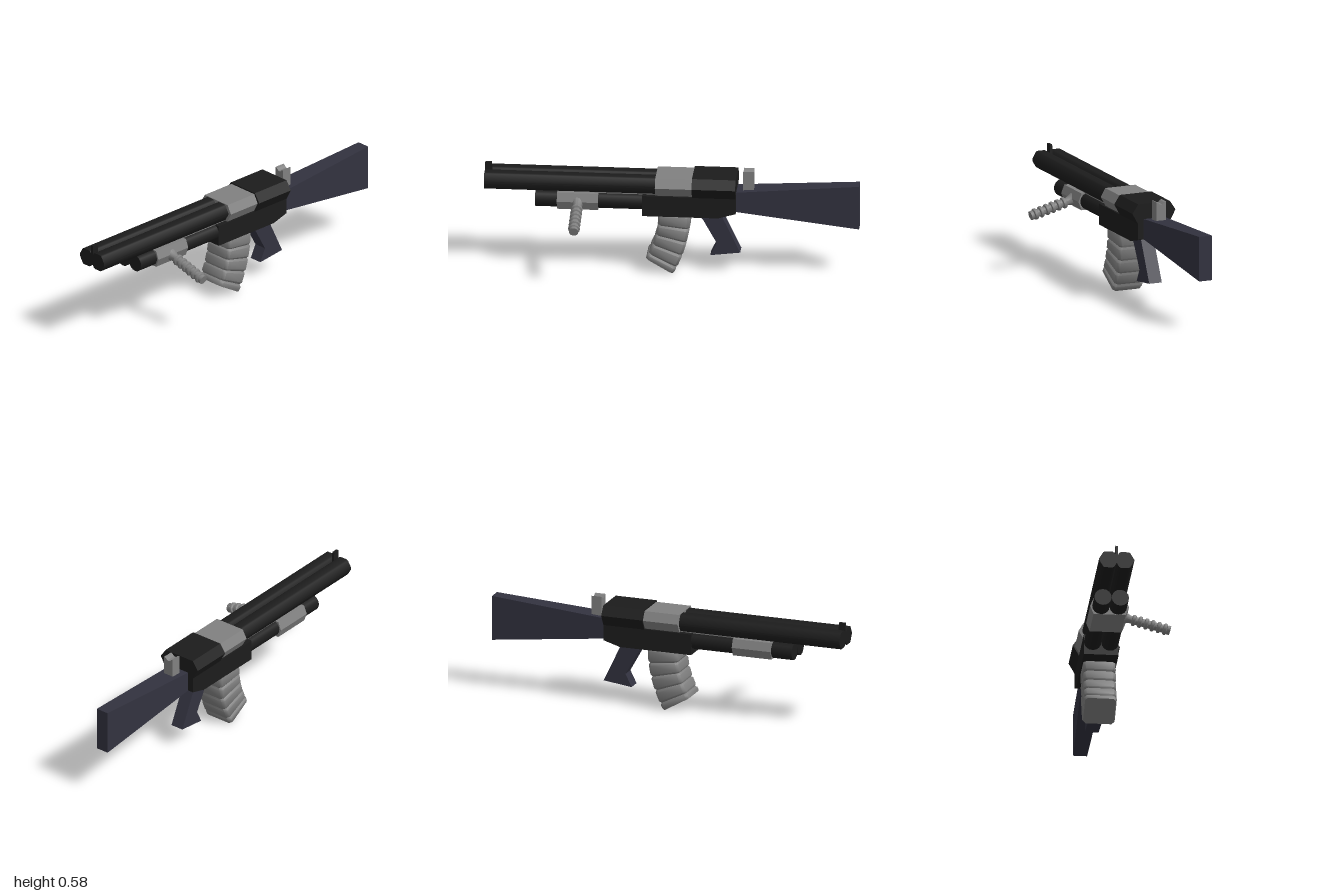
import * as THREE from 'three';
import { toCreasedNormals } from 'three/addons/utils/BufferGeometryUtils.js';

const steel = new THREE.MeshStandardMaterial({ color: 0x808080 });
steel.name = 'greySteel';
const black = new THREE.MeshStandardMaterial({ color: 0x1c1c1c });
black.name = 'blackMetal';
const polymer = new THREE.MeshStandardMaterial({ color: 0x32323f });
polymer.name = 'bluePolymer';

const toShape = (pts) => new THREE.Shape(pts.map(([a, b]) => new THREE.Vector2(a, b)));

// Cross-section in x and y, drawn out from z0 to z1
function alongZ(pts, z0, z1) {
  return new THREE.ExtrudeGeometry(toShape(pts), { depth: z1 - z0, bevelEnabled: false }).translate(0, 0, z0);
}

// Side outline given as [z, y], with half width w in x
function sideSlab(pts, w) {
  return new THREE.ExtrudeGeometry(toShape(pts), { depth: 2 * w, bevelEnabled: false })
    .translate(0, 0, -w).rotateY(-Math.PI / 2);
}

// Six-sided section: half widths at the top, middle and bottom
function hexSection(top, mid, bottom, yTop, yMid, yBottom) {
  return [[-bottom, yBottom], [bottom, yBottom], [mid, yMid], [top, yTop], [-top, yTop], [-mid, yMid]];
}

// Regular hexagon with clipped corners
function clippedHex(cx, cy, r) {
  const corner = (i) => [cx + r * Math.cos(i * Math.PI / 3), cy + r * Math.sin(i * Math.PI / 3)];
  const pts = [];
  for (let i = 0; i < 6; i++) {
    const a = corner(i), b = corner(i + 1);
    for (const t of [0.1, 0.9]) pts.push([a[0] + (b[0] - a[0]) * t, a[1] + (b[1] - a[1]) * t]);
  }
  return pts;
}

// Curved, ribbed magazine lofted through tilted sections
function magazineGeometry() {
  const rings = [];
  const cuts = [0, 0.23, 0.45, 0.67, 0.88];
  cuts.forEach((t, i) => {
    const end = cuts[i + 1] ?? 1;
    rings.push([t, 0.009], [t + 0.035, 0], [end - 0.035, 0]);
  });
  rings.push([1, 0.004]);
  const R = 0.59, sweep = Math.PI / 6, n = 8;
  const pos = [], index = [];
  for (const [t, inset] of rings) {
    const a = t * sweep;
    const cz = -0.015 + R * (1 - Math.cos(a)), cy = 0.345 - R * Math.sin(a);
    const w = 0.087 - inset, d = 0.085 - inset * 0.6, c = 0.014;
    const ring = [[w, d - c], [w - c, d], [c - w, d], [-w, d - c], [-w, c - d], [c - w, -d], [w - c, -d], [w, c - d]];
    for (const [x, s] of ring) pos.push(x, cy + s * Math.sin(a), cz + s * Math.cos(a));
  }
  for (let r = 0; r < rings.length - 1; r++) {
    for (let i = 0; i < n; i++) {
      const a = r * n + i, b = r * n + (i + 1) % n;
      index.push(a, a + n, b, b, a + n, b + n);
    }
  }
  // End caps
  const last = (rings.length - 1) * n;
  for (let i = 1; i < n - 1; i++) index.push(0, i, i + 1, last, last + i + 1, last + i);
  const g = new THREE.BufferGeometry();
  g.setAttribute('position', new THREE.Float32BufferAttribute(pos, 3));
  g.setIndex(index);
  // Wind the faces outward
  const idx = g.index.array;
  for (let i = 0; i < idx.length; i += 3) [idx[i + 1], idx[i + 2]] = [idx[i + 2], idx[i + 1]];
  return fixWinding(g);
}

// Flip a closed solid whose signed volume is negative
function fixWinding(g) {
  const p = g.attributes.position, idx = g.index.array;
  const v = (i) => new THREE.Vector3().fromBufferAttribute(p, idx[i]);
  let volume = 0;
  for (let i = 0; i < idx.length; i += 3) volume += v(i).dot(v(i + 1).cross(v(i + 2)));
  if (volume < 0) for (let i = 0; i < idx.length; i += 3) [idx[i + 1], idx[i + 2]] = [idx[i + 2], idx[i + 1]];
  return toCreasedNormals(g, 0.9);
}

// Side handle: flared root, ringed shaft, flat end
function handleGeometry() {
  const pts = [[0, 0], [0.042, 0], [0.03, 0.025], [0.021, 0.05]];
  for (let i = 0; i < 6; i++) {
    const y = 0.071 + i * 0.0345;
    pts.push([0.022, y - 0.011], [0.03, y - 0.007], [0.032, y], [0.03, y + 0.007], [0.022, y + 0.011]);
  }
  pts.push([0.025, 0.256], [0.025, 0.272], [0, 0.272]);
  const g = new THREE.LatheGeometry(pts.map(([r, y]) => new THREE.Vector2(r, y)), 14);
  return toCreasedNormals(g, 0.8);
}

export function createModel() {
  const model = new THREE.Group();
  const body = new THREE.Group();
  body.name = 'body';
  body.position.x = -0.108; // the side handle shifts the centre
  model.add(body);

  function add(name, geometry, material) {
    const mesh = new THREE.Mesh(geometry, material);
    mesh.name = name;
    body.add(mesh);
    return mesh;
  }

  // Twin upper barrels and twin lower tubes
  for (const s of [-1, 1]) {
    const side = s > 0 ? 'left' : 'right';
    add(side + 'UpperBarrel', toCreasedNormals(alongZ(clippedHex(s * 0.043, 0.505, 0.0535), -0.12, 1), 0.6), black);
    const tube = new THREE.CylinderGeometry(0.0465, 0.0465, 0.64, 16).rotateX(Math.PI / 2);
    add(side + 'LowerTube', tube.translate(s * 0.0465, 0.411, 0.407), black);
  }

  // Receiver
  add('barrelCollar', alongZ(hexSection(0.088, 0.114, 0.086, 0.555, 0.508, 0.457), -0.14, 0.085), steel);
  add('rearReceiver', alongZ(hexSection(0.093, 0.126, 0.093, 0.562, 0.513, 0.453), -0.345, -0.112), black);
  add('lowerReceiver', sideSlab([[0.155, 0.34], [0.155, 0.455], [-0.345, 0.455], [-0.345, 0.368], [-0.25, 0.34]], 0.093), black);
  add('barrelSpacer', new THREE.BoxGeometry(0.13, 0.016, 0.42).translate(0, 0.456, 0.2), steel);

  // Sliding foregrip with its side handle
  add('foregripSleeve', alongZ(hexSection(0.086, 0.104, 0.086, 0.456, 0.411, 0.364), 0.39, 0.61), steel);
  const handle = add('sideHandle', handleGeometry(), steel);
  handle.position.set(0.072, 0.405, 0.5);
  handle.rotation.z = -Math.PI / 2 - 0.26;

  // Magazine
  add('magazine', magazineGeometry(), steel);

  // Stock, narrowing to the rear
  const stock = sideSlab([[-0.34, 0.368], [-0.34, 0.478], [-1, 0.525], [-1, 0.28]], 1);
  const p = stock.attributes.position;
  for (let i = 0; i < p.count; i++) {
    p.setX(i, p.getX(i) * (p.getZ(i) < -0.6 ? 0.037 : 0.061));
  }
  stock.computeVertexNormals();
  add('stock', stock, polymer);

  // Pistol grip
  add('pistolGrip', sideSlab([[-0.11, 0.35], [-0.25, 0.365], [-0.365, 0.125], [-0.205, 0.105], [-0.24, 0.175], [-0.165, 0.31]], 0.037), polymer);

  // Sights
  add('rearSight', alongZ([[-0.029, 0.46], [0.029, 0.46], [0.029, 0.587], [0.018, 0.583], [0.007, 0.572],
    [-0.007, 0.572], [-0.018, 0.583], [-0.029, 0.587]], -0.437, -0.38), steel);
  add('frontSight', sideSlab([[0.96, 0.52], [1, 0.52], [1, 0.587], [0.965, 0.587]], 0.007), black);

  return model;
}
